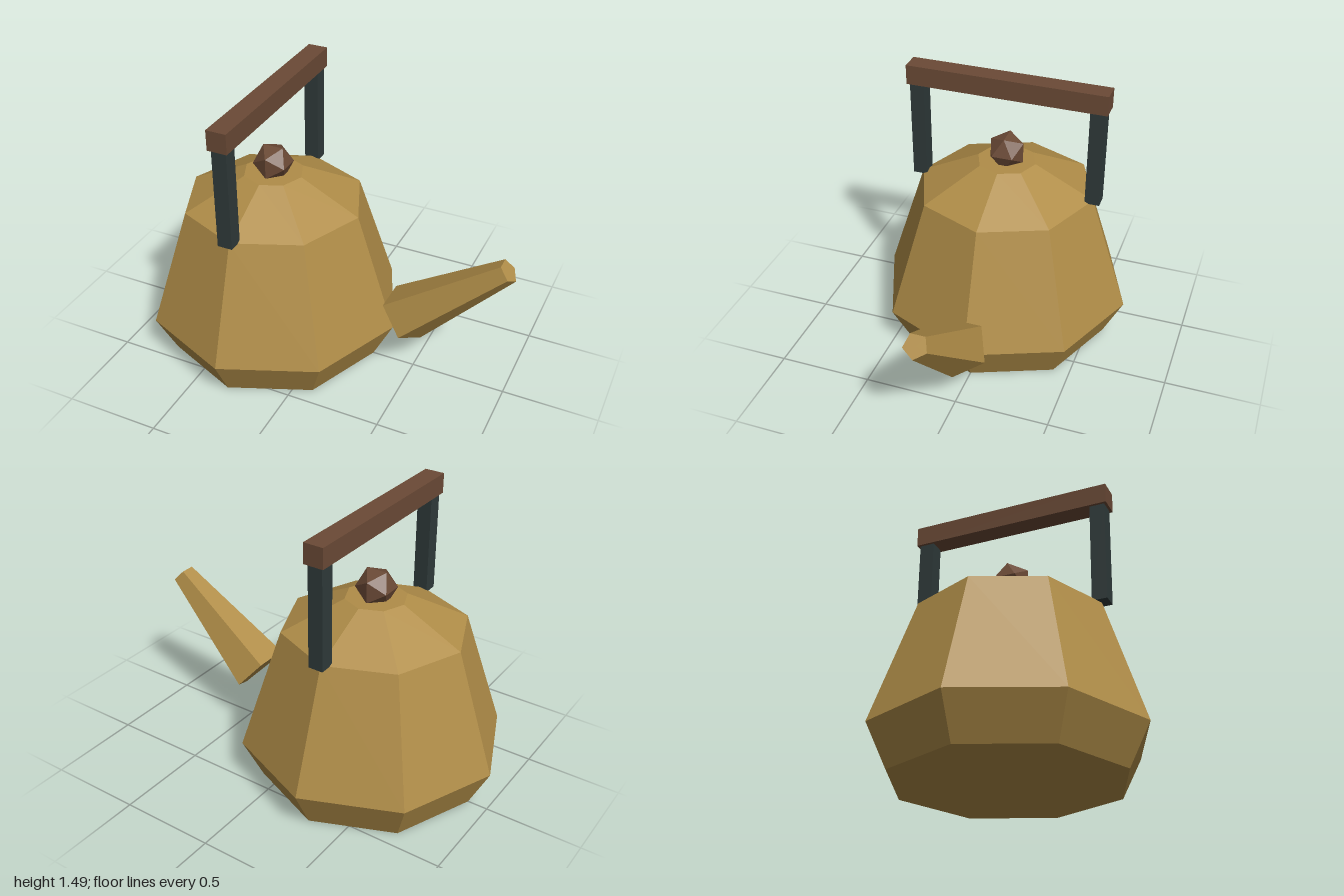
import * as THREE from 'three';

const mat = (name, color) => {
  const m = new THREE.MeshStandardMaterial({ color, flatShading: true });
  m.name = name;
  return m;
};

export function createModel() {
  const brass = mat('brass', 0xb08d48);
  const wood = mat('brown wood', 0x6b4a36);
  const iron = mat('dark iron', 0x2f3a3a);

  const group = new THREE.Group();
  group.name = 'kettle';
  const cx = -0.313; // axis of the pot

  const add = (name, geometry, material, x, y, z = 0) => {
    const mesh = new THREE.Mesh(geometry, material);
    mesh.name = name;
    mesh.position.set(x, y, z);
    group.add(mesh);
    return mesh;
  };

  // eight-sided pot with sloped shoulder and flat top
  const profile = [[0, 0], [0.582, 0], [0.687, 0.212], [0.476, 0.85], [0.158, 1.007], [0, 1.007]]
    .map(([r, y]) => new THREE.Vector2(r, y));
  add('body', new THREE.LatheGeometry(profile, 8), brass, cx, 0);

  // faceted lid knob
  add('knob', new THREE.IcosahedronGeometry(0.105), wood, cx, 1.06);

  // five-sided tapered spout, one edge facing down
  const spout = new THREE.CylinderGeometry(0.063, 0.157, 0.687, 5).rotateY(Math.PI / 2);
  add('spout', spout, brass, 0.694, 0.541).rotation.z = -THREE.MathUtils.degToRad(50);

  // handle: two uprights and a grip
  for (const [side, s] of [['front', 1], ['back', -1]]) {
    add(side + 'Upright', new THREE.BoxGeometry(0.078, 0.532, 0.078), iron, cx, 1.115, s * 0.478);
  }
  add('grip', new THREE.BoxGeometry(0.105, 0.105, 1.06), wood, cx, 1.433);

  return group;
}
